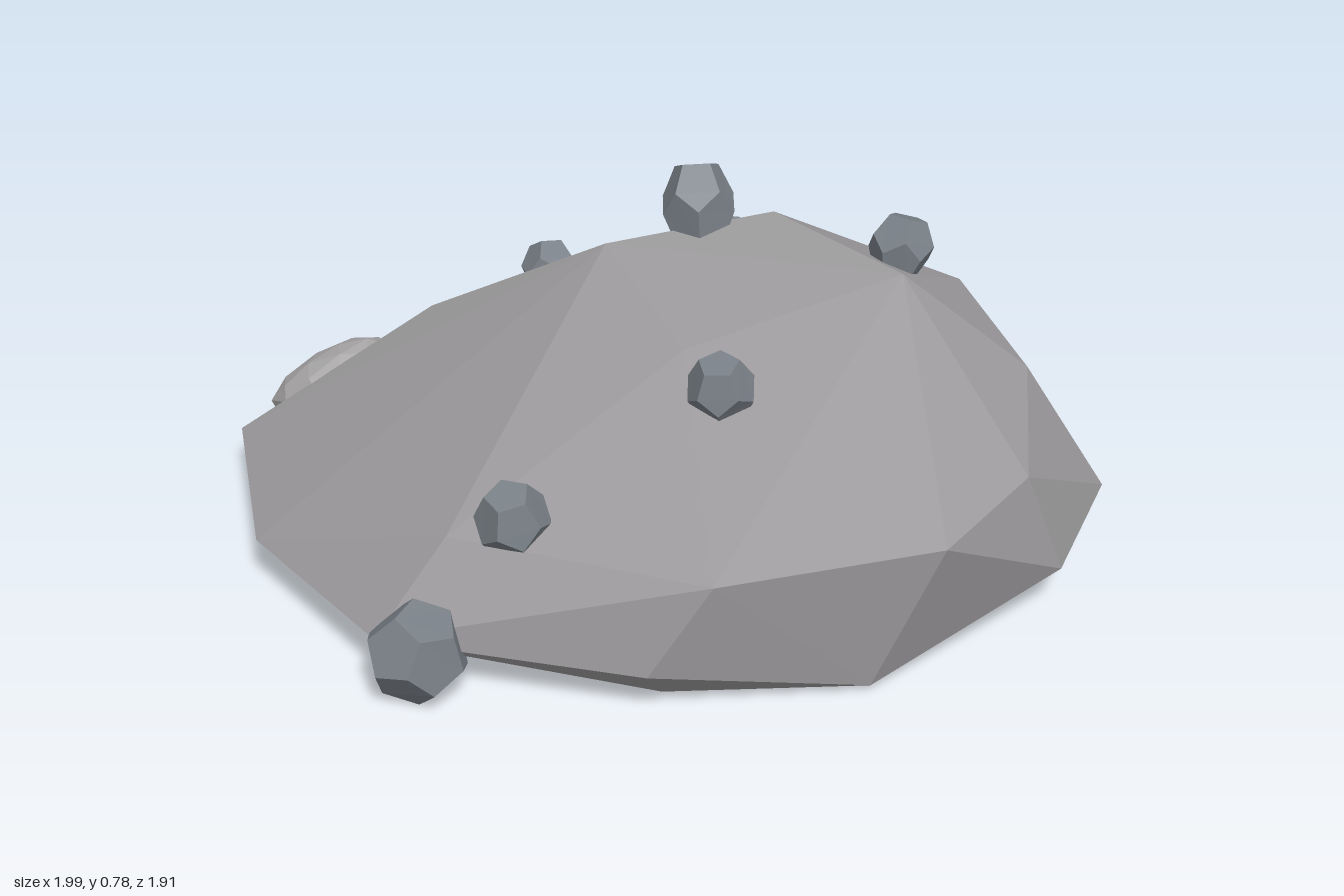
import * as THREE from 'three';
import { ConvexGeometry } from 'three/addons/geometries/ConvexGeometry.js';

const stone = new THREE.MeshStandardMaterial({ color: 0x9c9a9c });
stone.name = 'warmGreyStone';
const barnacleGrey = new THREE.MeshStandardMaterial({ color: 0x787f86 });
barnacleGrey.name = 'blueGreyBarnacle';
const shellGrey = new THREE.MeshStandardMaterial({ color: 0xa8a6a7 });
shellGrey.name = 'paleGreyShell';
for (const m of [stone, barnacleGrey, shellGrey]) m.flatShading = true;

const UP = new THREE.Vector3(0, 1, 0);
const PHI = (1 + Math.sqrt(5)) / 2;

// Turns and moves a mesh so its own y axis follows the given direction
function place(mesh, pos, axis, spin = 0) {
  mesh.position.set(...pos);
  mesh.quaternion.setFromUnitVectors(UP, new THREE.Vector3(...axis).normalize());
  mesh.rotateY(spin);
  return mesh;
}

// Dodecahedron with a pentagon facing up, stretched below into a short stalk
function barnacleGeometry() {
  const g = new THREE.DodecahedronGeometry(1);
  g.applyQuaternion(new THREE.Quaternion().setFromUnitVectors(
    new THREE.Vector3(1, 0, PHI).normalize(), UP));
  const p = g.attributes.position;
  for (let i = 0; i < p.count; i++) {
    if (p.getY(i) < 0) p.setY(i, p.getY(i) * 1.2);
  }
  g.computeVertexNormals();
  return g;
}

export function createModel() {
  const group = new THREE.Group();

  // Boulder: base, rim, shoulder and crown rings
  const base = [
    [0.8, 0.35], [0.82, -0.25], [0.5, -0.65], [-0.1, -0.65], [-0.55, -0.42],
    [-0.76, -0.1], [-0.77, 0.28], [-0.5, 0.58], [-0.05, 0.7], [0.45, 0.6],
  ].map(([x, z]) => [x, 0.035, z]);
  const rim = [
    [1, -0.15], [0.93, -0.55], [0.37, -0.93], [-0.1, -0.9], [-0.5, -0.6],
    [-0.87, -0.2], [-0.93, 0.3], [-0.55, 0.69], [-0.08, 0.87], [0.47, 0.69],
  ].map(([x, z]) => [x, 0.125, z]);
  const shoulder = [
    [0.92, 0.36, 0.28], [0.94, 0.37, -0.07], [0.76, 0.42, -0.46], [0.43, 0.43, -0.8],
    [0.02, 0.45, -0.68], [-0.4, 0.4, -0.48], [-0.6, 0.4, -0.04],
    [0.0, 0.32, 0.72], [0.58, 0.335, 0.62],
  ];
  const crown = [
    [0.13, 0.68, -0.4], [0.52, 0.655, -0.29], [0.21, 0.56, 0.13], [-0.16, 0.63, -0.13],
  ];
  const boulder = new THREE.Mesh(new ConvexGeometry(
    [...base, ...rim, ...shoulder, ...crown].map(p => new THREE.Vector3(...p))), stone);
  boulder.name = 'boulder';
  group.add(boulder);

  // Barnacles: position, direction, radius, stretch, spin
  const geo = barnacleGeometry();
  [
    [[-0.02, 0.7, -0.31], [-0.25, 0.9, -0.3], 0.088, 1.25, 0.3],
    [[0.45, 0.66, -0.42], [0.05, 0.9, -0.3], 0.075, 1.1, 0.9],
    [[0.35, 0.54, 0.21], [0.05, 0.95, 0.25], 0.075, 1.1, 0.2],
    [[0.12, 0.365, 0.65], [0.05, 0.9, 0.3], 0.08, 1.1, 0.6],
    [[0.02, 0.125, 0.86], [0, 0.45, 0.85], 0.11, 0.95, 0],
    [[0, 0.3, -0.86], [-0.05, 0.6, -0.7], 0.09, 1.1, 0.4],
    [[-0.14, 0.44, -0.66], [-0.15, 0.8, -0.5], 0.076, 1.1, 0],
    [[-0.53, 0.365, -0.44], [-0.4, 0.8, -0.4], 0.073, 1.1, 0.7],
  ].forEach(([pos, axis, r, stretch, spin], i) => {
    const barnacle = place(new THREE.Mesh(geo, barnacleGrey), pos, axis, spin);
    barnacle.scale.set(r, r * stretch, r);
    barnacle.name = `barnacle${i + 1}`;
    group.add(barnacle);
  });

  // Flat shell clinging to the low side
  const shell = place(new THREE.Mesh(new THREE.IcosahedronGeometry(1, 1), shellGrey),
    [-0.865, 0.175, 0.04], [-0.6, 0.8, 0]);
  shell.scale.set(0.155, 0.065, 0.17);
  shell.name = 'shell';
  group.add(shell);

  return group;
}
